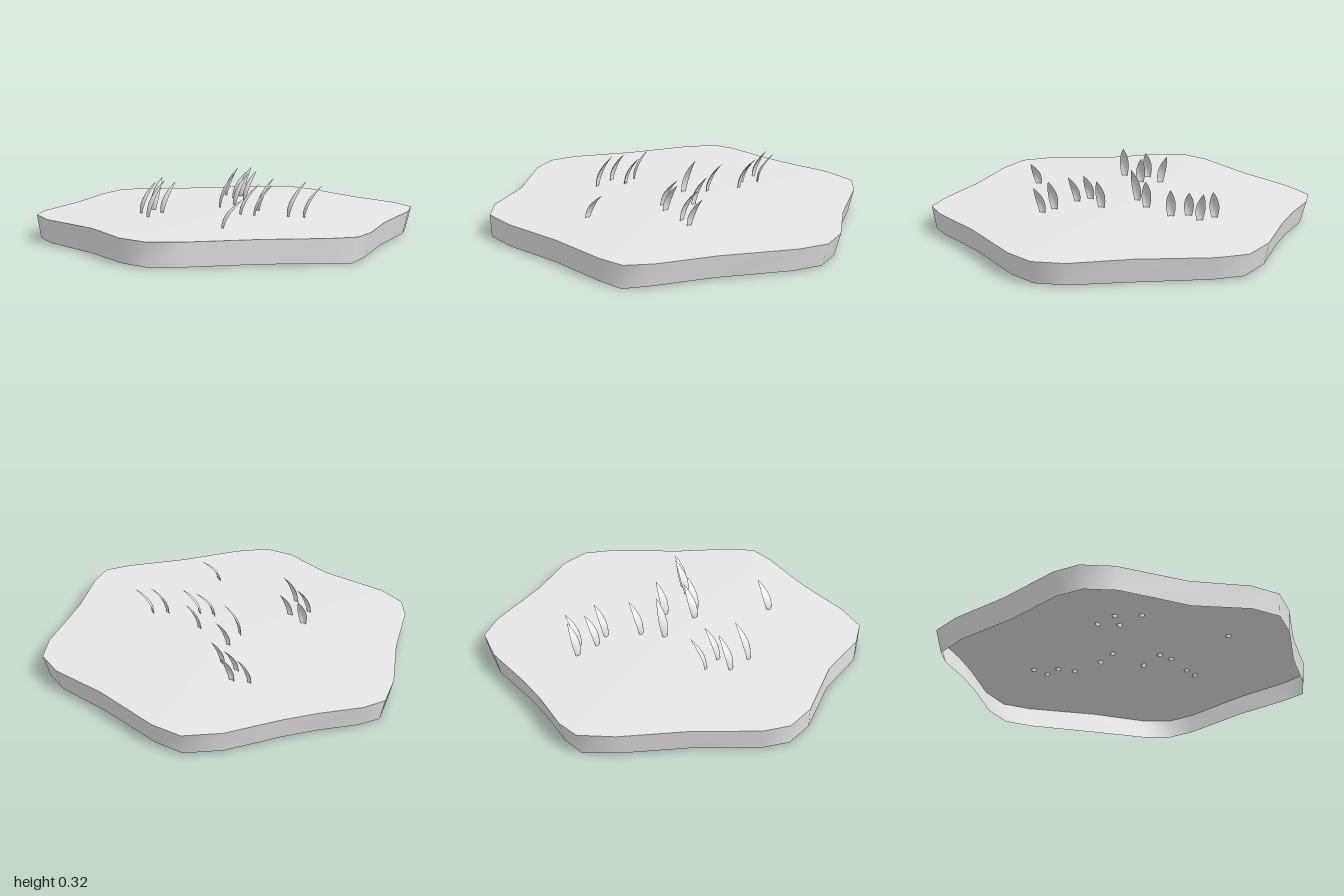
import * as THREE from 'three';

// Rim of the slab seen from above: x, z
const RIM = [
  [0, -1], [0.155, -0.945], [0.48, -0.735], [0.76, -0.6], [0.875, -0.485], [0.9, -0.325],
  [0.875, 0.065], [0.888, 0.375], [0.865, 0.515], [0.75, 0.6], [0.465, 0.745], [0.18, 0.93],
  [0.01, 1], [-0.145, 0.955], [-0.385, 0.775], [-0.725, 0.63], [-0.85, 0.52], [-0.885, 0.385],
  [-0.875, 0.03], [-0.9, -0.305], [-0.88, -0.49], [-0.785, -0.575], [-0.59, -0.67],
  [-0.43, -0.765], [-0.185, -0.935],
];
const TOP = 0.125;

// Grass blades: foot x, foot z, tip x, tip z, tip height
const BLADES = [
  [-0.22, -0.49, -0.155, -0.55, 0.285], [-0.125, -0.48, -0.08, -0.565, 0.29],
  [-0.13, -0.39, -0.07, -0.465, 0.275], [-0.05, -0.345, 0.01, -0.415, 0.29],
  [-0.035, -0.16, 0.03, -0.235, 0.295], [-0.07, -0.04, 0.015, -0.09, 0.32],
  [0.155, -0.025, 0.23, -0.085, 0.295], [0.115, 0.13, 0.21, 0.065, 0.285],
  [0.195, 0.135, 0.29, 0.09, 0.285], [0.365, 0.1, 0.45, 0.03, 0.305],
  [0.445, 0.085, 0.535, 0.035, 0.285], [-0.365, 0.16, -0.345, 0.07, 0.295],
  [-0.38, 0.285, -0.31, 0.215, 0.29], [-0.285, 0.23, -0.23, 0.15, 0.285],
  [-0.29, 0.385, -0.22, 0.305, 0.31], [0.185, 0.54, 0.28, 0.475, 0.265],
];

function meshData(positions, index) {
  const g = new THREE.BufferGeometry();
  g.setAttribute('position', new THREE.Float32BufferAttribute(positions, 3));
  g.setIndex(index);
  g.computeVertexNormals();
  return g;
}

// Gently domed top surface
function topGeometry() {
  const n = RIM.length, pos = [0, TOP + 0.005, 0], index = [];
  RIM.forEach(([x, z], i) => {
    pos.push(x, TOP, z);
    index.push(0, 1 + (i + 1) % n, 1 + i);
  });
  return meshData(pos, index);
}

// Tapered side wall, open underneath, with a slightly uneven lower edge
function wallGeometry() {
  const n = RIM.length, pos = [], index = [];
  RIM.forEach(([x, z], i) => {
    pos.push(x, TOP, z, x * 0.972, i % 6 === 2 ? 0 : 0.007, z * 0.983 + 0.012);
    const a = 2 * i, b = 2 * ((i + 1) % n);
    index.push(a, b, b + 1, a, b + 1, a + 1);
  });
  return meshData(pos, index);
}

// Cupped blade: narrow foot, wide middle, pointed tip bending over
function bladeGeometry([fx, fz, tx, tz, height]) {
  const g = new THREE.PlaneGeometry(2, 1, 4, 10);
  const p = g.attributes.position;
  const reach = Math.hypot(tx - fx, tz - fz);
  const dx = (tx - fx) / reach, dz = (tz - fz) / reach;
  const foot = 0.11;
  for (let i = 0; i < p.count; i++) {
    const u = p.getX(i), v = p.getY(i) + 0.5;
    const w = Math.pow(Math.max(0, Math.sin(Math.PI * (0.1 + 0.9 * v))), 0.85);
    const along = 0.012 + (reach - 0.012) * v * v - 0.012 * w * (1 - u * u);
    const side = 0.025 * w * u;
    p.setXYZ(i, fx + dx * along - dz * side, foot + (height - foot) * v, fz + dz * along + dx * side);
  }
  g.computeVertexNormals();
  return g;
}

export function createModel() {
  const model = new THREE.Group();
  model.name = 'grassyTile';
  const stone = new THREE.MeshStandardMaterial({ color: 0xe7e7e7, side: THREE.DoubleSide });
  stone.name = 'pale grey';

  const add = (name, geometry, parent = model) => {
    const mesh = new THREE.Mesh(geometry, stone);
    mesh.name = name;
    parent.add(mesh);
  };

  add('tileTop', topGeometry());
  add('tileWall', wallGeometry());

  const grass = new THREE.Group();
  grass.name = 'grass';
  BLADES.forEach((blade, i) => add(`grassBlade${i + 1}`, bladeGeometry(blade), grass));
  model.add(grass);
  return model;
}
